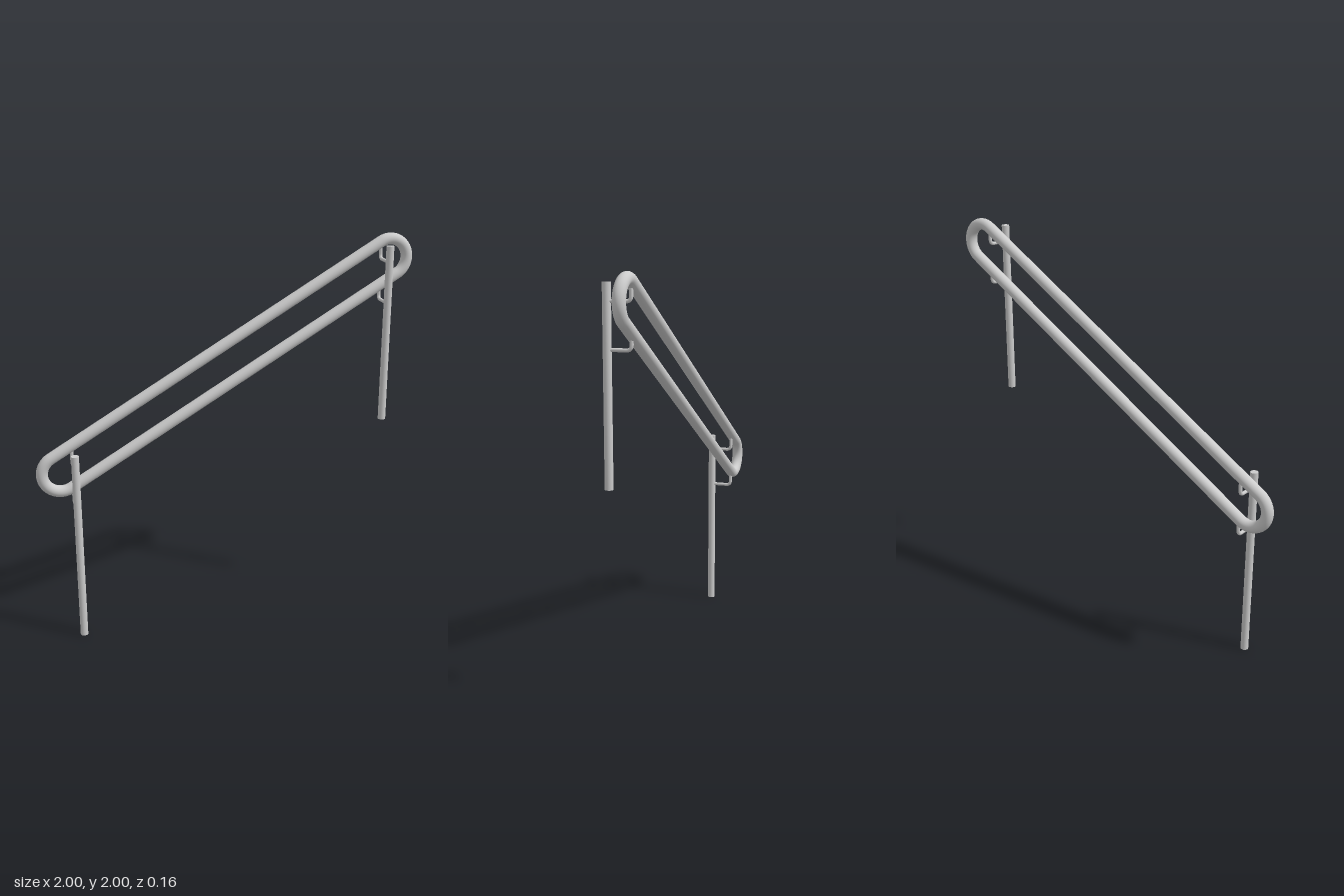
import * as THREE from 'three';

const material = new THREE.MeshStandardMaterial({ color: 0xcccccc });
const RAIL_Z = -0.052, POST_Z = 0.062;
const TUBE_R = 0.03, POST_R = 0.02, BRACKET_R = 0.009;
const BEND_R = 0.097; // centreline radius of the rail's rounded ends
const END = new THREE.Vector2(0.873, 0.5005); // upper end centre, relative to the loop's middle
const MID_Y = 1.3725;

function part(name, geometry, parent) {
  const mesh = new THREE.Mesh(geometry, material);
  mesh.name = name;
  parent.add(mesh);
  return mesh;
}

// Closed loop: two straight tubes joined by half-torus ends, tilted to the stair slope
function makeHandrail() {
  const rail = new THREE.Group();
  rail.name = 'handrail';
  const length = END.length() * 2;
  for (const s of [1, -1]) {
    const bar = part(s > 0 ? 'upperRail' : 'lowerRail',
      new THREE.CylinderGeometry(TUBE_R, TUBE_R, length, 32, 1, true), rail);
    bar.rotation.z = Math.PI / 2;
    bar.position.y = s * BEND_R;
    const bend = part(s > 0 ? 'upperBend' : 'lowerBend',
      new THREE.TorusGeometry(BEND_R, TUBE_R, 32, 40, Math.PI), rail);
    bend.rotation.z = -s * Math.PI / 2;
    bend.position.x = s * length / 2;
  }
  rail.rotation.z = END.angle();
  rail.position.set(0, MID_Y, RAIL_Z);
  return rail;
}

// Thin rod running back from the post, then bending up into the rail
function makeBracket(x, y, railY, parent) {
  const bend = 0.025;
  const path = new THREE.CurvePath();
  const v = (py, pz) => new THREE.Vector3(x, py, pz);
  path.add(new THREE.LineCurve3(v(y, POST_Z), v(y, RAIL_Z + bend)));
  path.add(new THREE.QuadraticBezierCurve3(v(y, RAIL_Z + bend), v(y, RAIL_Z), v(y + bend, RAIL_Z)));
  path.add(new THREE.LineCurve3(v(y + bend, RAIL_Z), v(railY, RAIL_Z)));
  part('bracket', new THREE.TubeGeometry(path, 40, BRACKET_R, 12), parent);
}

// Post with its two brackets
function makeSupport(name, x, bottom, top, bracketYs) {
  const support = new THREE.Group();
  support.name = name;
  const post = part('post', new THREE.CylinderGeometry(POST_R, POST_R, top - bottom, 24), support);
  post.position.set(x, (top + bottom) / 2, POST_Z);
  const slopeY = MID_Y + x * END.y / END.x;
  const offset = BEND_R / Math.cos(END.angle());
  bracketYs.forEach((y, i) => makeBracket(x, y, slopeY + (i ? -offset : offset), support));
  return support;
}

export function createModel() {
  const model = new THREE.Group();
  model.name = 'stairHandrail';
  model.add(
    makeHandrail(),
    makeSupport('lowerSupport', -0.815, 0, 1.0, [0.92, 0.707]),
    makeSupport('upperSupport', 0.824, 1.035, 1.953, [1.87, 1.66]),
  );
  return model;
}
